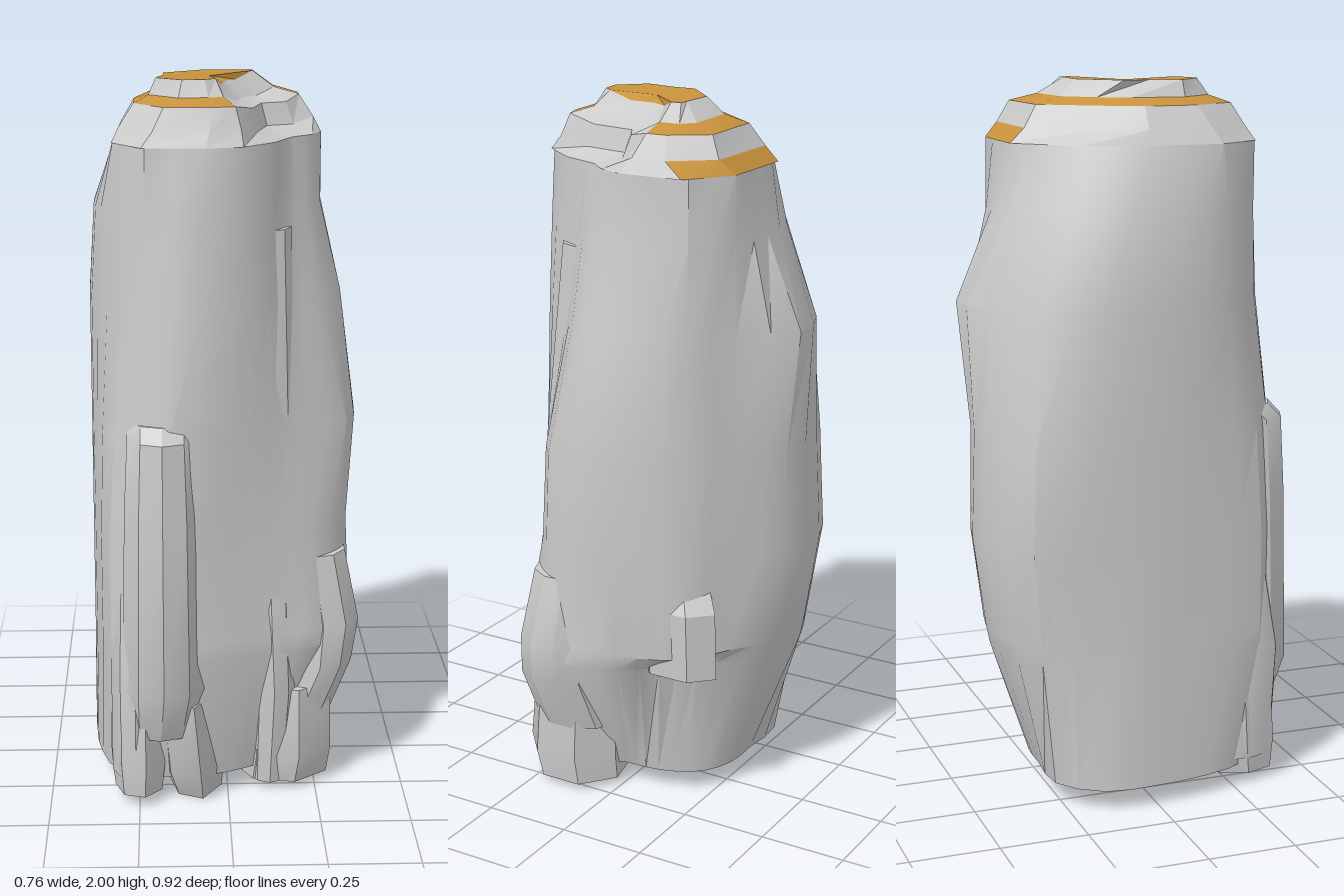
import * as THREE from 'three';
import { toCreasedNormals } from 'three/addons/utils/BufferGeometryUtils.js';

const stone = new THREE.MeshStandardMaterial({ color: 0xcccccc });
const ochre = new THREE.MeshStandardMaterial({ color: 0xc8923c });

// Terrace outlines [x, z], matched point for point, from the summit down to the rim
const summit = [[-.06, -.13], [.05, -.13], [.08, -.13], [.08, -.1], [.03, -.05], [0, 0], [-.01, .08],
  [-.03, .16], [-.06, .19], [-.12, .2], [-.19, .13], [-.17, .04], [-.17, -.03]];
const summitFoot = [[-.07, -.18], [.1, -.19], [.14, -.16], [.14, -.1], [.09, -.06], [.05, .01], [.03, .1],
  [-.01, .2], [-.05, .22], [-.13, .23], [-.21, .13], [-.2, -.02], [-.15, -.1]];
const ledge = [[-.08, -.25], [.14, -.26], [.21, -.16], [.21, -.1], [.17, -.03], [.1, .01], [.07, .15],
  [.02, .26], [-.04, .28], [-.17, .28], [-.25, .15], [-.25, 0], [-.18, -.12]];
const ledgeFoot = [[-.1, -.29], [.16, -.29], [.25, -.18], [.25, -.08], [.19, -.015], [.115, .025], [.085, .16],
  [.035, .28], [-.05, .31], [-.2, .31], [-.29, .18], [-.285, 0], [-.22, -.14]];
const rim = [[-.1, -.33], [.14, -.33], [.27, -.24], [.27, -.05], [.24, .02], [.18, .08], [.13, .2],
  [.04, .31], [-.06, .34], [-.23, .33], [-.31, .2], [-.3, -.02], [-.25, -.18]];

// The inlet (points 4 to 6) can sit at its own height
const ringAt = (outline, y, inletY = y) =>
  outline.map(([x, z], i) => [x, i >= 4 && i <= 6 ? inletY : y, z]);

function mesh(name, triangles, material, crease = 0.5) {
  const geometry = new THREE.BufferGeometry();
  geometry.setAttribute('position', new THREE.Float32BufferAttribute(triangles.flat(), 3));
  const m = new THREE.Mesh(toCreasedNormals(geometry, crease), material);
  m.name = name;
  return m;
}

// Wall between two rings; keep picks the segments to build
function wall(low, high, keep = () => true) {
  const out = [];
  low.forEach((a, i) => {
    const j = (i + 1) % low.length;
    if (keep(i)) out.push(a, high[i], low[j], low[j], high[i], high[j]);
  });
  return out;
}

function cap(ring, up) {
  const n = ring.length;
  const centre = [0, 1, 2].map(k => ring.reduce((s, p) => s + p[k], 0) / n);
  return ring.flatMap((p, i) => {
    const q = ring[(i + 1) % n];
    return up ? [centre, q, p] : [centre, p, q];
  });
}

// Closed solid through rings listed from bottom to top
function solid(name, rings) {
  const triangles = [...cap(rings[0], false), ...cap(rings[rings.length - 1], true)];
  for (let i = 1; i < rings.length; i++) triangles.push(...wall(rings[i - 1], rings[i]));
  return mesh(name, triangles, stone);
}

// Distance from the axis to an outline in one direction
function reach(outline, angle) {
  const c = Math.cos(angle), s = Math.sin(angle);
  let best = 0;
  outline.forEach(([ax, az], i) => {
    const [bx, bz] = outline[(i + 1) % outline.length];
    const ex = bx - ax, ez = bz - az, d = c * ez - s * ex;
    if (Math.abs(d) < 1e-9) return;
    const r = (ax * ez - az * ex) / d, t = (ax * s - az * c) / d;
    if (t >= 0 && t <= 1 && r > best) best = r;
  });
  return best;
}

// Ring from 16 radii, starting at +x and turning towards +z, smoothed to more sides
const SIDES = 32;
function radialRing(y, radii) {
  const curve = new THREE.CatmullRomCurve3(radii.map((r, i) => {
    const a = i / radii.length * Math.PI * 2;
    return new THREE.Vector3(r * Math.cos(a), y, r * Math.sin(a));
  }), true);
  return Array.from({ length: SIDES }, (_, i) => curve.getPoint(i / SIDES).toArray());
}

// Rib of rock from sections [y, x, z, half width, half depth]
function lobe(name, sections, sides = 10) {
  return solid(name, sections.map(([y, x, z, rx, rz]) =>
    Array.from({ length: sides }, (_, i) => {
      const a = (i + 0.5) / sides * Math.PI * 2;
      return [x + rx * Math.cos(a), y, z + rz * Math.sin(a)];
    })));
}

export function createModel() {
  const group = new THREE.Group();
  group.name = 'rockPillar';

  // Main column, with an overhanging shelf at the back left
  const rows = [
    [.06, [.16, .2, .24, .26, .3, .36, .42, .39, .38, .405, .38, .29, .265, .24, .2, .17]],
    [.43, [.33, .38, .38, .34, .37, .45, .46, .39, .38, .405, .45, .43, .38, .3, .27, .29]],
    [.48, [.33, .38, .38, .34, .37, .45, .46, .39, .38, .405, .455, .44, .395, .34, .345, .33]],
    [.75, [.35, .35, .33, .32, .35, .45, .46, .39, .38, .41, .495, .48, .43, .355, .355, .34]],
    [1.05, [.37, .365, .31, .31, .355, .44, .44, .39, .38, .41, .48, .465, .425, .36, .355, .355]],
    [1.4, [.325, .28, .25, .29, .345, .4, .4, .385, .38, .405, .435, .455, .46, .365, .355, .33]],
    [1.65, [.265, .24, .22, .275, .335, .39, .395, .37, .365, .38, .37, .37, .355, .36, .355, .29]],
  ];
  const rimRing = Array.from({ length: SIDES }, (_, i) => {
    const a = i / SIDES * Math.PI * 2, r = reach(rim, a);
    return [r * Math.cos(a), 1.835, r * Math.sin(a)];
  });
  group.add(solid('column', [...rows.map(([y, radii]) => radialRing(y, radii)), rimRing]));

  // Stepped top with ochre ledges
  const r0 = ringAt(summit, 2, 1.98), r1 = ringAt(summitFoot, 1.955, 1.935), r2 = ringAt(ledge, 1.935, 1.92);
  const r3 = ringAt(ledgeFoot, 1.875, 1.86), r4 = ringAt(rim, 1.835);
  const onLedge = i => i >= 7 || i < 3, onRim = i => i < 2;
  group.add(
    mesh('summit', cap(r0, true), ochre),
    mesh('upperLedge', wall(r2, r1, onLedge), ochre),
    mesh('lowerLedge', wall(r4, r3, onRim), ochre),
    mesh('terraceSteps', [...wall(r1, r0), ...wall(r2, r1, i => !onLedge(i)),
      ...wall(r3, r2), ...wall(r4, r3, i => !onRim(i))], stone, 0.3));

  // Ribs along the front and left side, tapering back into the column
  group.add(
    lobe('frontRib', [[.2, -.19, .3, .1, .1], [.35, -.18, .34, .12, .12], [.85, -.18, .33, .11, .12],
      [1.06, -.18, .32, .1, .12], [1.1, -.18, .28, .1, .12]]),
    lobe('rightFrontRib', [[.08, -.26, .28, .07, .11], [.4, -.26, .29, .07, .12], [.68, -.26, .26, .06, .1]]),
    lobe('middleRib', [[.02, .12, .2, .06, .09], [.3, .13, .22, .07, .1], [.55, .12, .22, .07, .1],
      [.66, .12, .19, .06, .1], [1.1, .13, .17, .06, .1], [1.6, .12, .12, .06, .1]]),
    lobe('leftRib', [[.2, .2, .14, .1, .12], [.36, .26, .16, .1, .12], [.48, .27, .15, .11, .12],
      [.68, .24, .13, .1, .11]]),
    lobe('backLeftShelf', [[.42, .2, -.2, .07, .12], [.62, .21, -.2, .07, .12], [.72, .17, -.17, .06, .1]], 6));

  // Feet
  group.add(
    lobe('middleFoot', [[0, -.09, .18, .08, .17], [.08, -.1, .2, .1, .19], [.3, -.12, .22, .1, .19]], 7),
    lobe('leftFoot', [[.02, .16, .15, .14, .14], [.1, .17, .16, .14, .15], [.3, .17, .15, .14, .14]], 7),
    lobe('rightFoot', [[.03, -.25, .3, .07, .1], [.12, -.25, .29, .08, .12], [.3, -.25, .28, .08, .12]], 7));

  return group;
}
